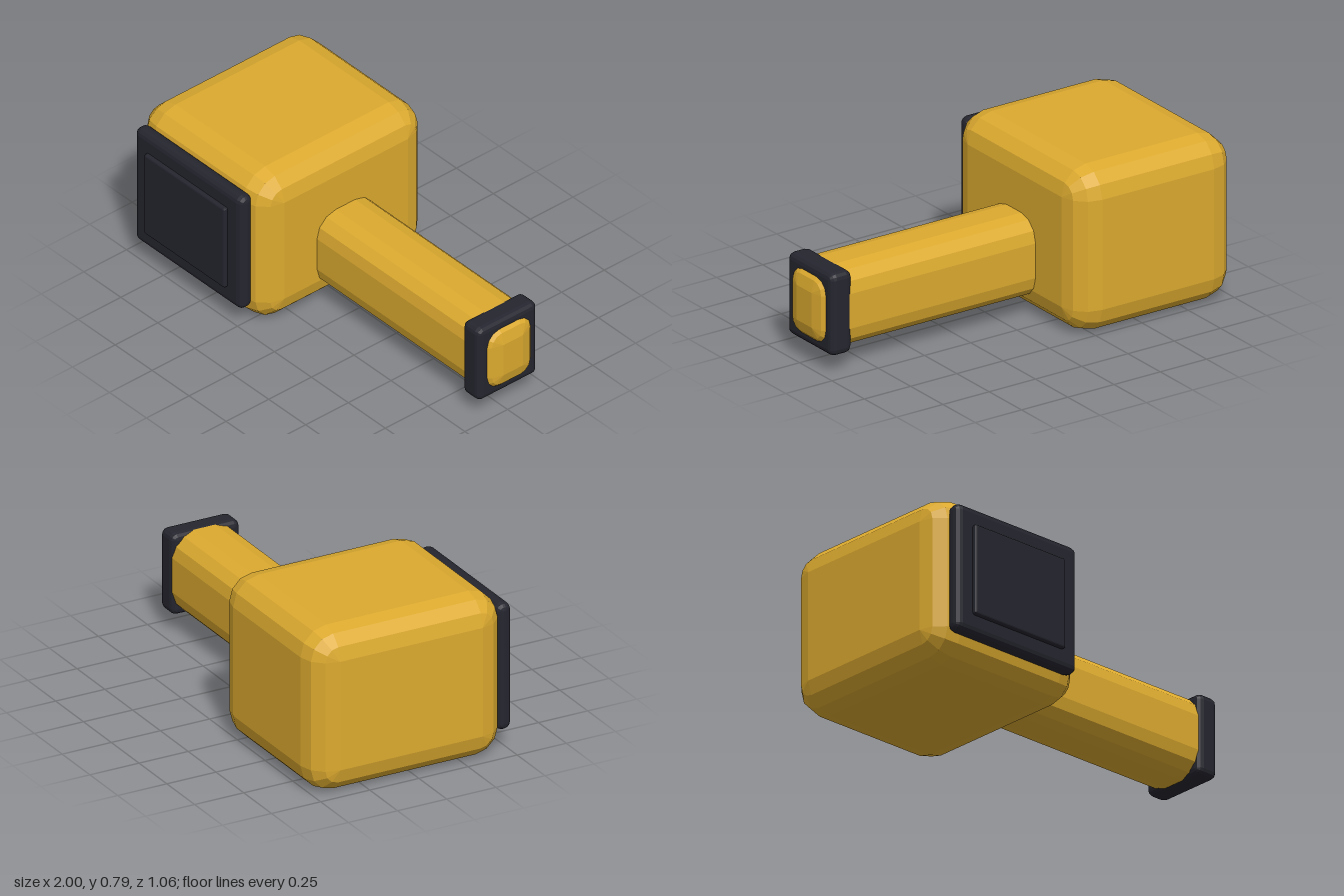
import * as THREE from 'three';
import { ConvexGeometry } from 'three/addons/geometries/ConvexGeometry.js';

// Faceted rounded box between two corners: hull of eight sphere octants, pole along x
function roundedBox(min, max, r, segs = 3) {
  const pts = [];
  const step = Math.PI / 2 / segs;
  for (const sx of [0, 1]) for (const sy of [0, 1]) for (const sz of [0, 1]) {
    const sign = [sx, sy, sz].map((s) => s * 2 - 1);
    const at = [sx, sy, sz].map((s, i) => (s ? max[i] - r : min[i] + r));
    for (let i = 0; i <= segs; i++) {
      for (let j = 0; j <= (i === 0 ? 0 : segs); j++) {
        const a = i * step, b = j * step;
        const dir = [Math.cos(a), Math.sin(a) * Math.cos(b), Math.sin(a) * Math.sin(b)];
        pts.push(new THREE.Vector3(...dir.map((d, k) => at[k] + sign[k] * d * r)));
      }
    }
  }
  return new ConvexGeometry(pts);
}

export function createModel() {
  const group = new THREE.Group();
  const yellow = new THREE.MeshStandardMaterial({ color: 0xdcaa2f });
  yellow.name = 'yellow casing';
  const dark = new THREE.MeshStandardMaterial({ color: 0x25252f });
  dark.name = 'dark rubber';

  const add = (name, material, min, max, r) => {
    const mesh = new THREE.Mesh(roundedBox(min, max, r), material);
    mesh.name = name;
    group.add(mesh);
  };

  // Block head
  add('head', yellow, [-1, 0, -0.53], [-0.135, 0.79, 0.455], 0.13);
  // Handle, running from inside the head through the end band
  add('handle', yellow, [-0.4, 0.09, -0.2], [1, 0.477, 0.133], 0.11);
  // Band round the end of the handle
  add('endBand', dark, [0.855, 0.085, -0.205], [0.97, 0.48, 0.143], 0.03);
  // Front plate with a thin raised panel
  add('facePlate', dark, [-0.94, 0.1, 0.435], [-0.215, 0.717, 0.51], 0.032);
  add('facePanel', dark, [-0.85, 0.19, 0.5], [-0.305, 0.627, 0.53], 0.01);

  return group;
}
